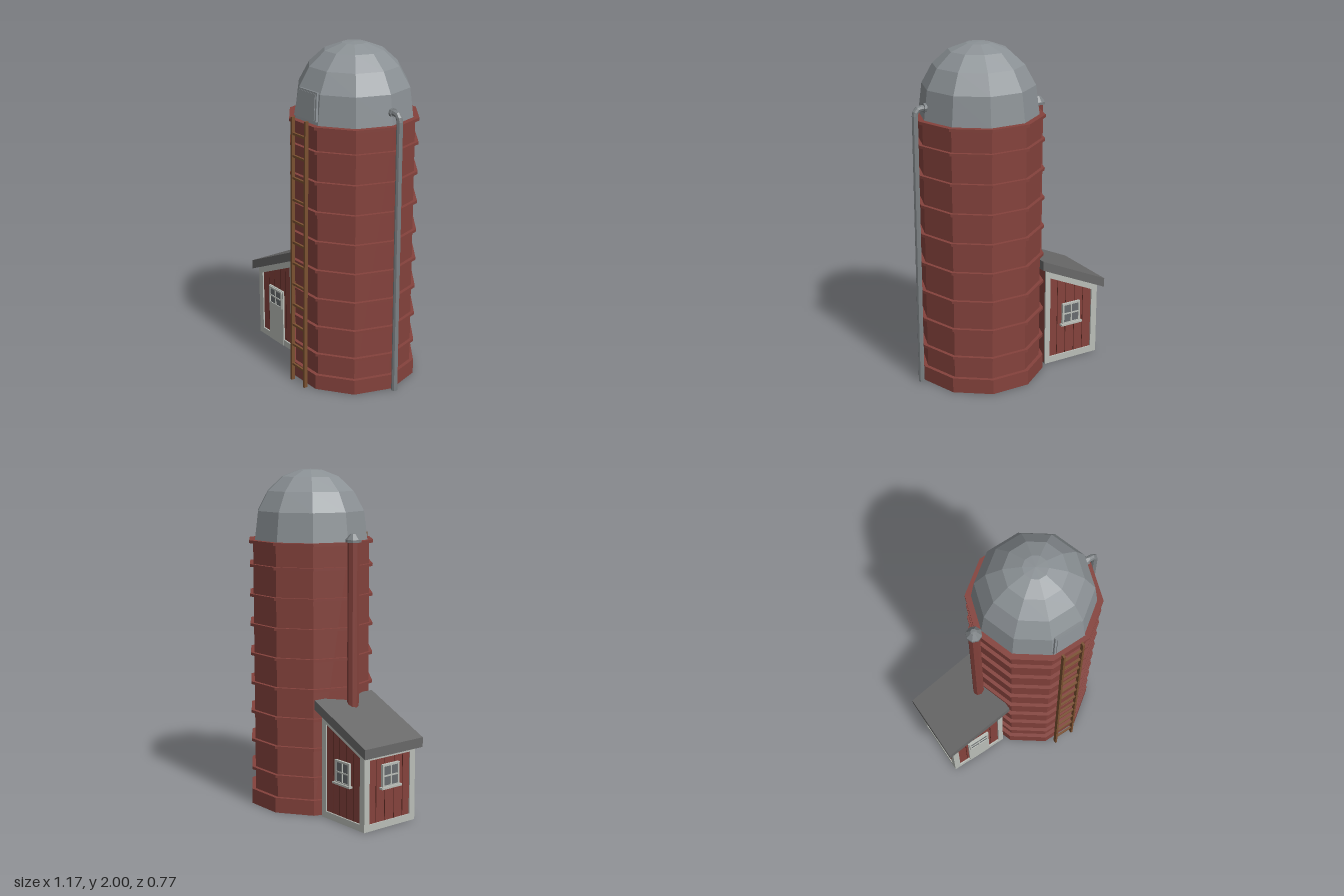
import * as THREE from 'three';

const paint = (name, color) => {
  const m = new THREE.MeshStandardMaterial({ color });
  m.name = name;
  return m;
};

export function createModel() {
  const red = paint('barn red', 0x84423c);
  const darkRed = paint('groove red', 0x54261f);
  const steel = paint('dome steel', 0x8b9195);
  const pipeGrey = paint('pipe grey', 0x7c8184);
  const roofGrey = paint('roof grey', 0x686868);
  const white = paint('trim white', 0xb9bdb7);
  const glass = paint('window grey', 0x686c6f);
  const wood = paint('ladder wood', 0x7a5030);

  const model = new THREE.Group();
  model.name = 'silo';
  const CX = 0.165, CZ = -0.022;

  // Adds a mesh with faceted normals
  const add = (name, geo, mat, x = 0, y = 0, z = 0, parent = model) => {
    const g = geo.index ? geo.toNonIndexed() : geo;
    g.computeVertexNormals();
    const mesh = new THREE.Mesh(g, mat);
    mesh.name = name;
    mesh.position.set(x, y, z);
    parent.add(mesh);
    return mesh;
  };
  const box = (name, w, h, d, mat, x, y, z, parent) =>
    add(name, new THREE.BoxGeometry(w, h, d), mat, x, y, z, parent);
  // Outline in x and y, extruded from z0 to z1
  const prism = (name, pts, z0, z1, mat, parent) => {
    const shape = new THREE.Shape(pts.map(p => new THREE.Vector2(...p)));
    return add(name, new THREE.ExtrudeGeometry(shape, { depth: z1 - z0, bevelEnabled: false }),
      mat, 0, 0, z0, parent);
  };

  // Ten-sided tower with base, hoops and dome
  const drum = (name, r, y0, y1) =>
    add(name, new THREE.CylinderGeometry(r, r, y1 - y0, 10, 1, false, Math.PI / 10),
      red, CX, (y0 + y1) / 2, CZ);
  drum('tower', 0.357, 0.02, 1.59);
  drum('towerBase', 0.381, 0, 0.09);
  for (let i = 0; i < 8; i++) drum('hoop', 0.379, 0.212 + i * 0.175, 0.228 + i * 0.175);
  drum('topHoop', 0.381, 1.575, 1.592);
  const domeProfile = [[0.347, 1.585], [0.325, 1.76], [0.262, 1.875], [0.172, 1.957], [0.07, 1.995], [0, 2]]
    .map(p => new THREE.Vector2(...p));
  add('dome', new THREE.LatheGeometry(domeProfile, 10, Math.PI / 10), steel, CX, 0, CZ);

  // Hatch leaning on the dome
  const hatch = new THREE.Group();
  hatch.name = 'hatch';
  hatch.position.set(CX, 1.61, 0.307);
  hatch.rotation.x = -0.14;
  model.add(hatch);
  prism('hatchFrame', [[-0.102, 0], [0.102, 0], [0.084, 0.16], [-0.084, 0.16]], -0.005, 0.012, steel, hatch);
  prism('hatchPanel', [[-0.088, 0.008], [0.088, 0.008], [0.073, 0.15], [-0.073, 0.15]], 0.012, 0.016, steel, hatch);

  // Leaning ladder
  const ladder = new THREE.Group();
  ladder.name = 'ladder';
  ladder.position.set(CX, 0, 0.377);
  ladder.rotation.x = -0.0145;
  model.add(ladder);
  for (const s of [-1, 1]) box('ladderRail', 0.013, 1.615, 0.022, wood, s * 0.063, 0.8075, 0, ladder);
  for (let i = 0; i < 12; i++) box('rung', 0.12, 0.013, 0.013, wood, 0, 0.105 + i * 0.1287, 0, ladder);

  // Filling pipe on the left, bent into the dome
  const path = new THREE.CurvePath();
  const v = (x, y) => new THREE.Vector3(x, y, CZ);
  path.add(new THREE.LineCurve3(v(0.567, 0), v(0.567, 1.62)));
  path.add(new THREE.QuadraticBezierCurve3(v(0.567, 1.62), v(0.567, 1.665), v(0.53, 1.665)));
  path.add(new THREE.LineCurve3(v(0.53, 1.665), v(0.485, 1.665)));
  add('fillPipe', new THREE.TubeGeometry(path, 80, 0.018, 8), pipeGrey);
  const endCap = add('pipeEnd', new THREE.CircleGeometry(0.018, 8), pipeGrey, 0.567, 0.001, CZ);
  endCap.rotation.x = Math.PI / 2;
  const collar = add('pipeCollar', new THREE.CylinderGeometry(0.026, 0.026, 0.015, 8), pipeGrey, 0.508, 1.665, CZ);
  collar.rotation.z = Math.PI / 2;

  // Flue on the right with a cap
  add('flue', new THREE.CylinderGeometry(0.034, 0.034, 1.03, 8), red, -0.228, 1.085, CZ);
  const capProfile = [[0, 1.595], [0.046, 1.595], [0.046, 1.61], [0.018, 1.643], [0, 1.645]]
    .map(p => new THREE.Vector2(...p));
  add('flueCap', new THREE.LatheGeometry(capProfile, 8), pipeGrey, -0.228, 0, CZ);

  // Shed walls and lean-to roof
  const shed = new THREE.Group();
  shed.name = 'shed';
  model.add(shed);
  const X0 = -0.548, X1 = -0.182, HALF = 0.183;
  const top = x => 0.437 + 0.45 * (x + 0.59);
  prism('shedWalls', [[X0, 0.004], [X1, 0.004], [X1, top(X1)], [X0, top(X0)]], CZ - HALF, CZ + HALF, red, shed);
  box('shedFloor', X1 - X0, 0.006, HALF * 2, roofGrey, (X0 + X1) / 2, 0.003, CZ, shed);
  prism('shedRoof', [[-0.59, 0.435], [-0.145, 0.635], [-0.145, 0.692], [-0.59, 0.492]],
    CZ - 0.218, CZ + 0.218, roofGrey, shed);

  // Trim and plank grooves on the front and back walls
  for (const s of [1, -1]) {
    const layer = (name, pts, t, mat) => {
      const a = CZ + s * (HALF - 0.002), b = CZ + s * (HALF + t);
      prism(name, pts, Math.min(a, b), Math.max(a, b), mat, shed);
    };
    const slab = (name, x0, x1, y0, h0, h1, t, mat) =>
      layer(name, [[x0, y0], [x1, y0], [x1, h1], [x0, h0]], t, mat);
    slab('cornerTrim', -0.555, -0.515, 0, top(-0.555), top(-0.515), 0.009, white);
    slab('cornerTrim', -0.214, -0.18, 0, top(-0.214), top(-0.18), 0.009, white);
    slab('bottomTrim', -0.515, -0.214, 0, 0.04, 0.04, 0.009, white);
    layer('topTrim', [[-0.515, top(-0.515) - 0.045], [-0.214, top(-0.214) - 0.045],
      [-0.214, top(-0.214)], [-0.515, top(-0.515)]], 0.009, white);
    for (const x of [-0.455, -0.393, -0.33, -0.27])
      slab('plankGroove', x - 0.002, x + 0.002, 0.04, top(x) - 0.045, top(x) - 0.045, 0.001, darkRed);
  }

  // Trim and grooves on the outer end wall
  const end = new THREE.Group();
  end.name = 'endWall';
  end.position.set(X0, 0, CZ);
  end.rotation.y = -Math.PI / 2;
  shed.add(end);
  for (const s of [-1, 1]) box('cornerTrim', 0.038, 0.452, 0.008, white, s * 0.172, 0.226, 0.003, end);
  box('bottomTrim', 0.31, 0.04, 0.008, white, 0, 0.02, 0.003, end);
  box('topTrim', 0.31, 0.04, 0.008, white, 0, 0.432, 0.003, end);
  for (const x of [-0.1, -0.035, 0.035, 0.1]) box('plankGroove', 0.004, 0.375, 0.002, darkRed, x, 0.225, 0, end);

  // Four-pane window facing local +z
  const windowAt = (w, h, x, y, z, turn, sill) => {
    const g = new THREE.Group();
    g.name = 'window';
    g.position.set(x, y, z);
    g.rotation.y = turn;
    shed.add(g);
    box('panes', w, h, 0.008, glass, 0, 0, 0, g);
    for (const s of [-1, 0, 1]) {
      const t = s ? 0.012 : 0.008;
      box('windowBar', t, h, 0.018, white, s * w / 2, 0, 0, g);
      box('windowBar', w + 0.012, t, 0.018, white, 0, s * h / 2, 0, g);
    }
    if (sill) box('windowSill', w + 0.035, 0.012, 0.032, white, 0, -h / 2 - 0.006, 0.002, g);
  };
  windowAt(0.115, 0.125, -0.365, 0.305, CZ - HALF - 0.006, Math.PI, true);
  windowAt(0.115, 0.125, X0 - 0.008, 0.305, CZ, -Math.PI / 2, true);

  // Door with its window
  box('door', 0.15, 0.37, 0.014, white, -0.365, 0.185, CZ + HALF + 0.004, shed);
  windowAt(0.125, 0.105, -0.365, 0.308, CZ + HALF + 0.009, 0, false);

  return model;
}
